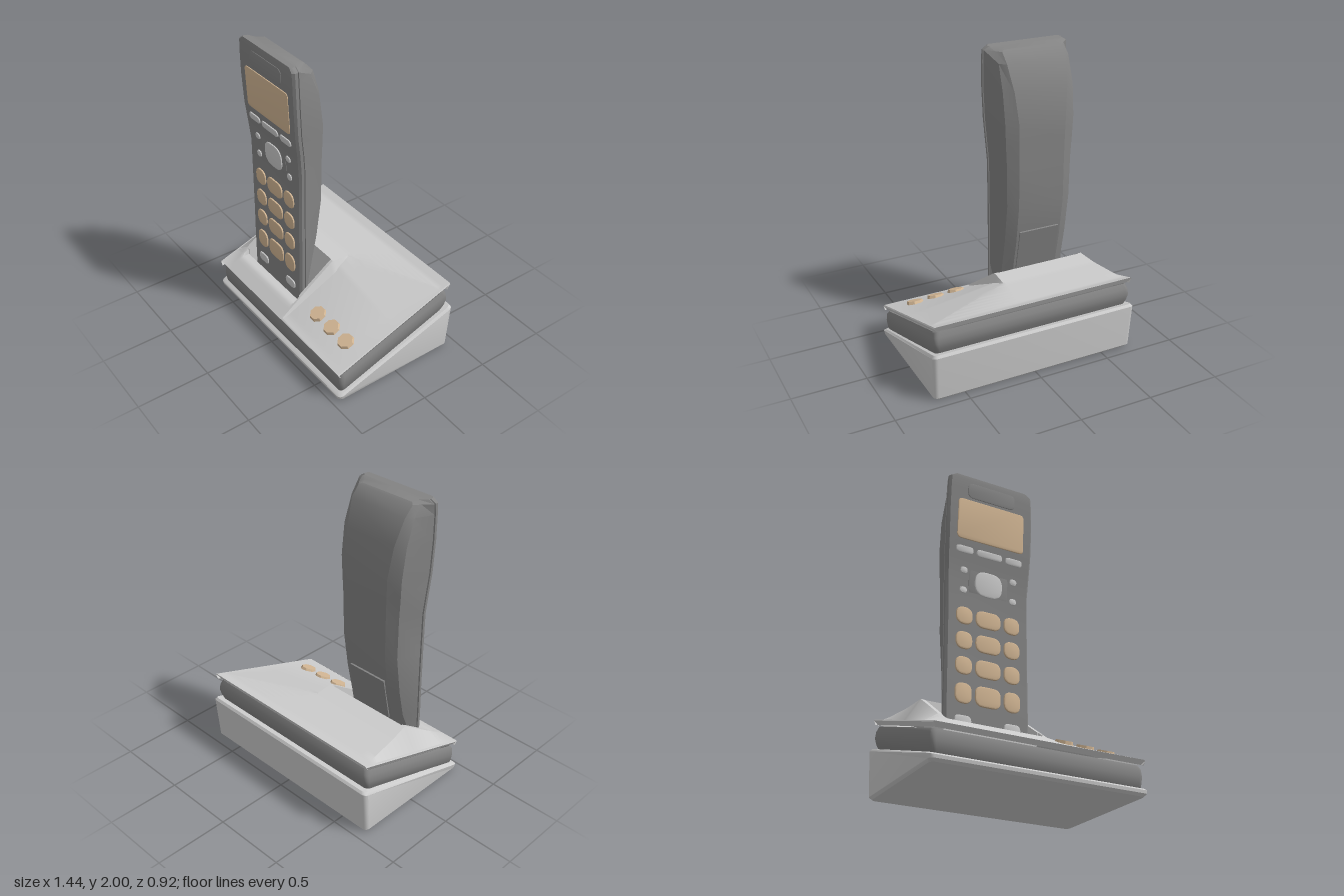
import * as THREE from 'three';
import { toCreasedNormals } from 'three/addons/utils/BufferGeometryUtils.js';

const grey = new THREE.MeshStandardMaterial({ color: 0xc0c0c0, side: THREE.DoubleSide });
const darkGrey = new THREE.MeshStandardMaterial({ color: 0x848484 });
const tan = new THREE.MeshStandardMaterial({ color: 0xd2b694 });
const PX = -0.267; // handset centre line

// Skin between rows of points
function surface(rows, crease) {
  const n = rows[0].length, index = [];
  for (let i = 0; i < rows.length - 1; i++)
    for (let j = 0; j < n - 1; j++) {
      const a = i * n + j, b = a + 1, d = a + n, c = d + 1;
      index.push(a, b, d, b, c, d);
    }
  const g = new THREE.BufferGeometry();
  g.setAttribute('position', new THREE.Float32BufferAttribute(rows.flat(2), 3));
  g.setIndex(index);
  return toCreasedNormals(g, crease);
}

// Skin over closed rings, with both ends capped
function loft(rings, crease) {
  const cap = (ring) => {
    const c = [0, 1, 2].map((k) => ring.reduce((s, p) => s + p[k], 0) / ring.length);
    return ring.map(() => c);
  };
  const rows = [cap(rings[0]), ...rings, cap(rings[rings.length - 1])];
  return surface(rows.map((r) => [...r, r[0]]), crease);
}

// Rounded rectangle ring, its height running from yf at the front to yb at the back
function ring([yf, yb, hx, zf, zb]) {
  const pts = [], r = 0.03;
  [[1, zf - r], [1, zb + r], [-1, zb + r], [-1, zf - r]].forEach(([s, cz], q) => {
    for (let k = 0; k <= 4; k++) {
      const a = (q - 1 + k / 4) * Math.PI / 2;
      const z = cz - r * Math.sin(a);
      pts.push([s * (hx - r) + r * Math.cos(a), yf + (yb - yf) * (zf - z) / (zf - zb), z]);
    }
  });
  return pts;
}

// Handset levels: y, half width, front z, back z, share of the width that is flat at the back
const LEVELS = [
  [0.2, 0.278, 0.262, 0.15, 0.58], [0.5, 0.28, 0.26, 0.095, 0.58], [0.7, 0.28, 0.257, 0.053, 0.58],
  [0.97, 0.281, 0.255, 0.015, 0.58], [1.25, 0.285, 0.252, 0.012, 0.57], [1.4, 0.293, 0.265, 0.01, 0.56],
  [1.53, 0.298, 0.28, 0.008, 0.56], [1.74, 0.302, 0.29, 0.035, 0.62], [1.91, 0.3, 0.293, 0.095, 0.7],
  [1.975, 0.296, 0.293, 0.155, 0.72], [2.0, 0.262, 0.288, 0.17, 0.74],
];
function levelAt(y, col) {
  let i = 0;
  while (i < LEVELS.length - 2 && LEVELS[i + 1][0] < y) i++;
  const a = LEVELS[i], b = LEVELS[i + 1];
  return a[col] + (b[col] - a[col]) * (y - a[0]) / (b[0] - a[0]);
}
function handsetRing([y, w, zf, zb, flat]) {
  const half = [
    [w - 0.014, zf], [w, zf - 0.014], [w, zf - 0.032], [w - 0.008, zf - 0.035],
    [w - 0.008, zf - 0.04], [w - 0.002, zf - 0.043],
    [w - 0.052, zb + 0.04], [w * flat, zb],
  ];
  const drop = (z) => (y > 1.99 ? (zf - z) * 0.13 : 0);
  const side = (s) => half.map(([x, z]) => [PX + s * x, y - drop(z), z]);
  return [...side(1), ...side(-1).reverse()];
}

// Rounded pad lying on the handset's front
function pad(name, x, y, w, h, r, rise, mat) {
  const s = new THREE.Shape(), b = Math.min(0.008, rise);
  const a = w / 2 - b, c = h / 2 - b;
  r = Math.min(r, a, c) * 0.98;
  s.moveTo(-a + r, -c);
  s.lineTo(a - r, -c); s.quadraticCurveTo(a, -c, a, -c + r);
  s.lineTo(a, c - r); s.quadraticCurveTo(a, c, a - r, c);
  s.lineTo(-a + r, c); s.quadraticCurveTo(-a, c, -a, c - r);
  s.lineTo(-a, -c + r); s.quadraticCurveTo(-a, -c, -a + r, -c);
  const g = new THREE.ExtrudeGeometry(s, {
    depth: 0.02, bevelSize: b, bevelThickness: b, bevelSegments: 2, curveSegments: 6,
  });
  g.translate(0, 0, rise - b - 0.02);
  const m = new THREE.Mesh(toCreasedNormals(g, 0.6), mat);
  m.name = name;
  m.position.set(x, y, levelAt(y, 2));
  m.rotation.x = Math.atan((levelAt(y + h / 2, 2) - levelAt(y - h / 2, 2)) / h);
  return m;
}

// Heights of the base's top: sloping plate, raised rear, and the gentle bank on the button side
const { clamp, lerp } = THREE.MathUtils;
const EDGE = 0.69;
const plate = (z) => 0.225 + (0.46 - z) * 0.337;
const raised = (z) => Math.max(plate(z),
  Math.min(0.505 + 0.1 * Math.max(0, z + 0.1), 0.225 + (0.46 - z) * 0.7));
const bankSlope = (z) => 0.15 * clamp((0.42 - z) / 0.42, 0.01, 1);
const bank = (x, z) => Math.min(raised(z), plate(z) + (EDGE - x) * bankSlope(z));
const middle = (x, z) => {
  if (x > -0.57 && x < 0.04 && z > 0.035 && z < 0.3) return 0.2;
  return x > -0.58 && x < 0.05 && z >= 0.3 ? Math.min(raised(z), 0.295) : raised(z);
};

// Cover whose columns follow the ridges, with a slot for the handset
function baseTop() {
  const span = (a, b, n) => Array.from({ length: n }, (_, i) => a + (b - a) * i / n);
  const zs = [0.44, 0.46, 0.45, ...span(0.44, 0.302, 8), 0.302, 0.298, ...span(0.28, 0.037, 12),
    0.037, 0.033, ...span(0.02, -0.42, 28), -0.42, -0.435, -0.41];
  const slotX = [-0.582, -0.573, -0.567, -0.27, 0.037, 0.043, 0.052];
  return surface(zs.map((z, i) => {
    const p = plate(z), t = raised(z);
    const left = lerp(-0.6, -0.675, clamp((0.02 - z) / 0.44, 0, 1));
    const right = clamp(EDGE - (t - p) / bankSlope(z), 0.065, 0.66);
    const foot = right + (t - bank(right, z)) / 2.2 + 0.004;
    const row = [[-0.685, p - 0.035], [-0.703, p - 0.008], [-0.698, p], [-EDGE, p], [left, t]];
    slotX.forEach((x) => row.push([x, middle(x, z)]));
    row.push([right, t]);
    for (let k = 0; k <= 6; k++) {
      const x = lerp(foot, EDGE, k / 6);
      row.push([x, bank(x, z)]);
    }
    row.push([0.698, p], [0.703, p - 0.008], [0.685, p - 0.035]);
    const skirt = i === 0 || i === zs.length - 1;
    return row.map(([x, y]) => [x, skirt ? p - 0.035 : y, z]);
  }), 0.5);
}

export function createModel() {
  const model = new THREE.Group();
  model.name = 'cordlessPhone';
  const base = new THREE.Group(), handset = new THREE.Group();
  base.name = 'chargingBase';
  handset.name = 'handset';
  model.add(base, handset);
  const add = (group, name, geo, mat) => {
    const m = new THREE.Mesh(geo, mat);
    m.name = name;
    group.add(m);
    return m;
  };

  // Wedge shaped foot, dark bulging band and top cover
  add(base, 'lowerShell', loft([
    [0, 0, 0.7, 0.44, -0.42], [0.016, 0.018, 0.715, 0.458, -0.437],
    [0.036, 0.32, 0.72, 0.46, -0.46], [0.048, 0.336, 0.708, 0.448, -0.448],
  ].map(ring), 0.6), grey);
  add(base, 'middleBand', loft([
    [0.04, 0.31, 0.68, 0.42, -0.4], [0.06, 0.36, 0.695, 0.435, -0.42],
    [0.12, 0.4, 0.702, 0.442, -0.428], [0.17, 0.44, 0.698, 0.438, -0.422],
    [0.195, 0.475, 0.685, 0.425, -0.405], [0.15, 0.44, 0.65, 0.4, -0.38],
  ].map(ring), 0.7), darkGrey);
  add(base, 'topCover', baseTop(), grey);

  // Octagonal buttons on the base
  [0.24, 0.39, 0.54].forEach((x) => {
    const g = new THREE.CylinderGeometry(0.052, 0.06, 0.024, 8).rotateY(Math.PI / 8).toNonIndexed();
    g.computeVertexNormals();
    const m = add(base, 'baseButton', g, tan);
    m.position.set(x, bank(x, 0.285) + 0.006, 0.285);
    m.rotation.x = 0.38;
  });

  // Handset body and the battery door on its back
  add(handset, 'handsetBody', loft(LEVELS.map(handsetRing), 0.42), darkGrey);
  const door = add(handset, 'batteryDoor', new THREE.BoxGeometry(0.29, 0.32, 0.02), darkGrey);
  door.position.set(PX, 0.62, levelAt(0.62, 3) + 0.002);
  door.rotation.x = -Math.atan(0.2);

  // Display, earpiece and function keys
  handset.add(
    pad('earpiece', PX, 1.895, 0.34, 0.11, 0.04, 0.003, darkGrey),
    pad('screen', PX, 1.678, 0.47, 0.285, 0.025, 0.005, tan),
    pad('navigationSurround', PX, 1.265, 0.27, 0.21, 0.05, 0.003, darkGrey),
    pad('navigationPad', PX, 1.26, 0.19, 0.17, 0.07, 0.012, grey),
  );
  [[-0.443, 0.12], [-0.27, 0.18], [-0.098, 0.12]].forEach(([x, w]) =>
    handset.add(pad('softKey', x, 1.463, w, 0.05, 0.025, 0.009, grey)));
  for (const s of [-1, 1]) {
    for (const y of [1.19, 1.325])
      handset.add(pad('smallKey', PX + s * 0.172, y, 0.05, 0.045, 0.025, 0.009, grey));
    handset.add(pad('bottomKey', PX + s * 0.162, 0.338, 0.11, 0.065, 0.03, 0.01, grey));
  }

  // Number keys
  [[1.015, 0.115], [0.85, 0.115], [0.685, 0.115], [0.508, 0.13]].forEach(([y, h]) => {
    for (const k of [-1, 0, 1])
      handset.add(pad('numberKey', PX + k * 0.162, y, k ? 0.11 : 0.17, h, 0.045, 0.011, tan));
  });
  return model;
}
